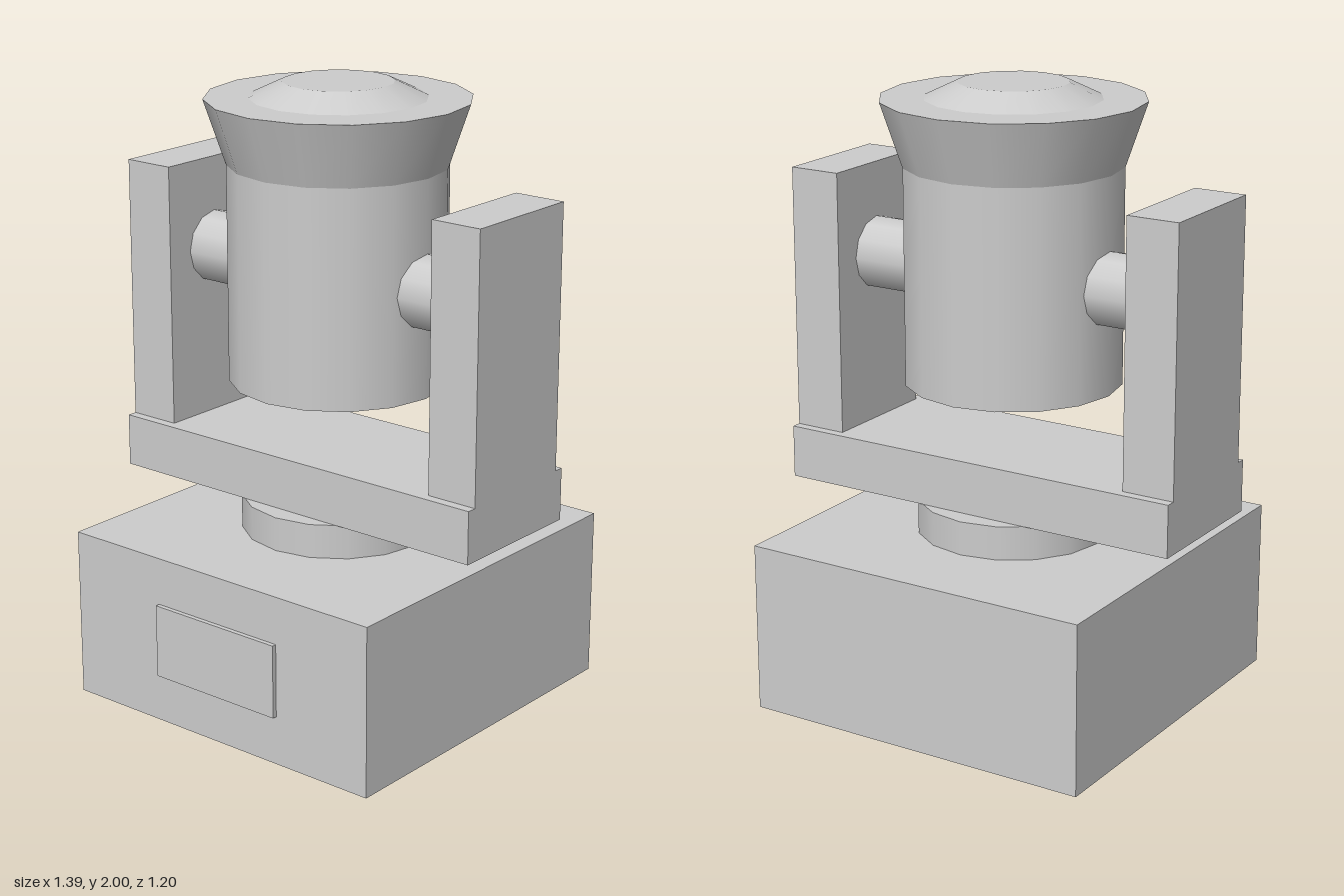
import * as THREE from 'three';

export function createModel() {
  const model = new THREE.Group();
  model.name = 'swivelLamp';
  const grey = new THREE.MeshStandardMaterial({ color: 0xcccccc });
  grey.name = 'light grey';
  const axisZ = -0.0075; // shared vertical axis of all parts

  const add = (name, geometry, x, y, z = axisZ) => {
    const mesh = new THREE.Mesh(geometry, grey);
    mesh.name = name;
    mesh.position.set(x, y, z);
    model.add(mesh);
    return mesh;
  };
  // Box and 16-sided drum given by their bottom and top heights
  const box = (name, w, d, y0, y1, x = 0, z = axisZ) =>
    add(name, new THREE.BoxGeometry(w, y1 - y0, d), x, (y0 + y1) / 2, z);
  const drum = (name, rTop, rBottom, y0, y1) =>
    add(name, new THREE.CylinderGeometry(rTop, rBottom, y1 - y0, 16), 0, (y0 + y1) / 2);

  // Base with front panel and turntable
  box('base', 1.185, 1.185, 0, 0.555);
  box('frontPanel', 0.482, 0.03, 0.16, 0.4, 0, 0.585);
  drum('turntable', 0.311, 0.311, 0.555, 0.665);

  // Yoke: crossbar, two arms and their pivot pins
  box('yokeCrossbar', 1.39, 0.484, 0.665, 0.836);
  for (const [side, s] of [['left', 1], ['right', -1]]) {
    box(side + 'Arm', 0.174, 0.42, 0.836, 1.69, s * 0.608);
    const pin = add(side + 'Pivot', new THREE.CylinderGeometry(0.117, 0.117, 0.26, 12), s * 0.4, 1.395);
    pin.rotation.z = Math.PI / 2;
  }

  // Head: barrel, flared rim and lens
  drum('barrel', 0.347, 0.347, 1.05, 1.745);
  drum('flaredRim', 0.416, 0.347, 1.745, 1.95);
  drum('lens', 0.174, 0.278, 1.95, 2);

  return model;
}
